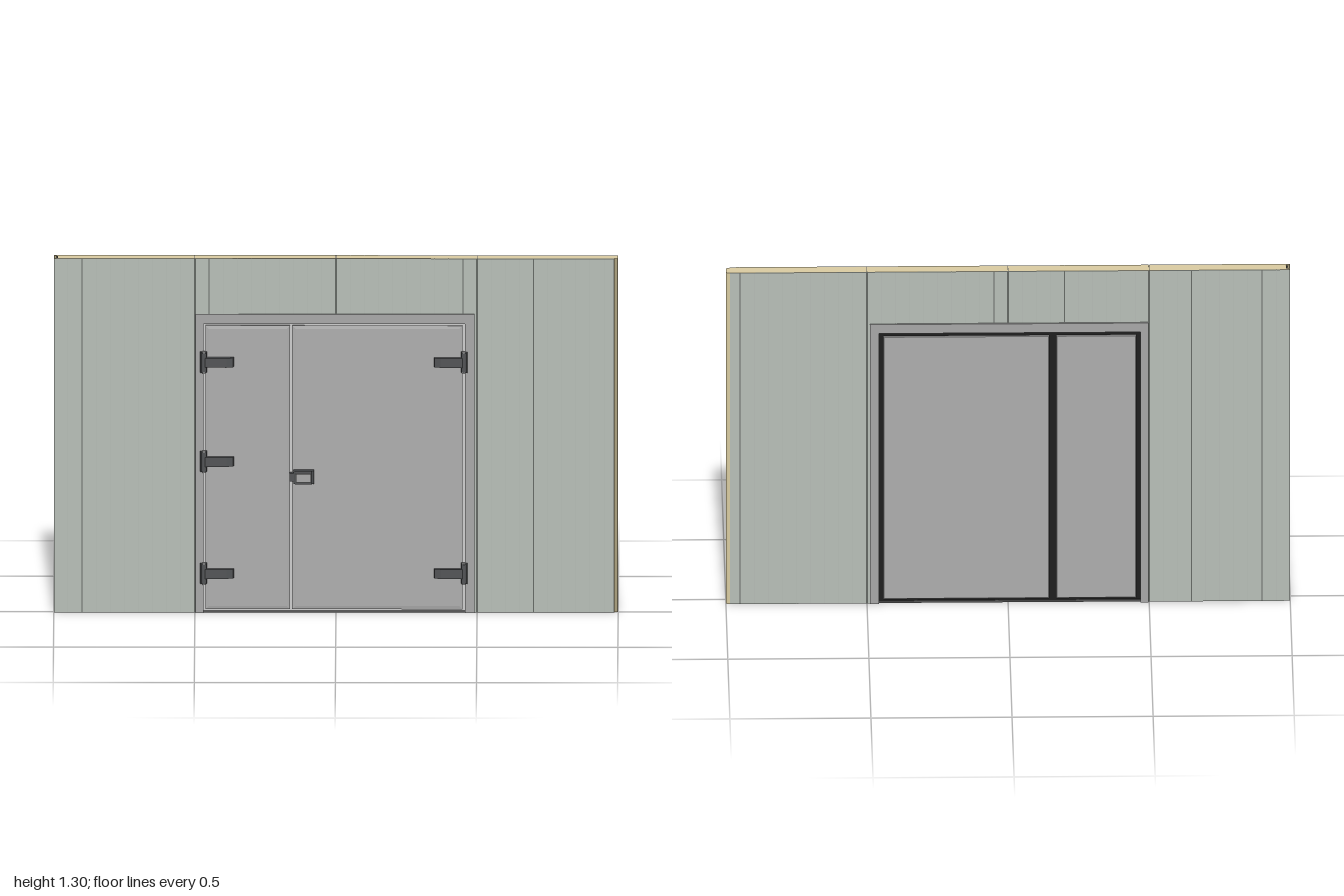
import * as THREE from 'three';

const mat = (color) => new THREE.MeshStandardMaterial({ color });
const STEEL = mat(0xb6bdb6), FOAM = mat(0xd8caa0), FRAME = mat(0xa6a6a6), LEAF = mat(0xacacac);
const DARK = mat(0x1c1c1c), HINGE = mat(0x505254), TRIM = mat(0xcccccc), SILL = mat(0x555555);

const ZF = 0.009, ZB = -0.04, SKIN = 0.002, HEIGHT = 1.295;

function add(parent, name, geometry, material, x = 0, y = 0, z = 0) {
  const mesh = new THREE.Mesh(geometry, material);
  mesh.name = name;
  mesh.position.set(x, y, z);
  parent.add(mesh);
  return mesh;
}

// Box given by its limits on each axis
function block(parent, name, material, [x0, x1], [y0, y1], [z0, z1]) {
  return add(parent, name, new THREE.BoxGeometry(x1 - x0, y1 - y0, z1 - z0), material,
    (x0 + x1) / 2, (y0 + y1) / 2, (z0 + z1) / 2);
}

// Plan outline of [x, z] points raised from y0 to y1
function raise(points, y0, y1) {
  const shape = new THREE.Shape(points.map(([x, z]) => new THREE.Vector2(x, -z)));
  const geometry = new THREE.ExtrudeGeometry(shape, { depth: y1 - y0, bevelEnabled: false });
  return geometry.rotateX(-Math.PI / 2).translate(0, y0, 0);
}

// Steel skin with fine vertical grooves and deeper panel joints
function skin(x0, x1, y0, y1, face, inward) {
  const points = [[x0, face + inward * SKIN], [x0, face]];
  for (let i = -19; i < 20; i++) {
    const x = i * 0.05;
    if (x < x0 + 0.005 || x > x1 - 0.005) continue;
    const joint = i % 10 === 0;
    const w = joint ? 0.0015 : 0.001, d = face + inward * (joint ? 0.0015 : 0.0005);
    points.push([x - w, face], [x, d], [x + w, face]);
  }
  points.push([x1, face], [x1, face + inward * SKIN]);
  return raise(points, y0, y1);
}

// Insulated wall around the doorway
function makeWall() {
  const wall = new THREE.Group();
  wall.name = 'wall';
  const f = ZF - SKIN, b = ZB + SKIN;
  const sections = [
    // groove along the right end
    ['rightWall', -1, -0.48, 0, [[-0.48, f], [-0.999, f], [-0.996, f - 0.006], [-0.985, f - 0.009],
      [-0.985, b + 0.009], [-0.996, b + 0.006], [-0.999, b], [-0.48, b]]],
    // tongue along the left end
    ['leftWall', 0.47, 0.985, 0, [[0.47, f], [0.985, f], [0.988, 0.002], [0.995, 0.002], [1, -0.002],
      [1, -0.034], [0.995, -0.037], [0.985, b], [0.47, b]]],
    ['header', -0.48, 0.47, 1.065, [[-0.48, f], [0.47, f], [0.47, b], [-0.48, b]]],
  ];
  for (const [name, x0, x1, y0, core] of sections) {
    add(wall, name + 'Core', raise(core, y0, HEIGHT), FOAM);
    add(wall, name + 'FrontSkin', skin(x0, x1, y0, HEIGHT, ZF, -1), STEEL);
    add(wall, name + 'BackSkin', skin(x0, x1, y0, HEIGHT, ZB, 1), STEEL);
  }
  block(wall, 'grooveSeal', DARK, [-0.99, -0.984], [0, HEIGHT - 0.001], [-0.029, -0.002]);
  // Joint lines across the top of the panels
  for (const x of [-0.5, 0, 0.5])
    block(wall, 'panelJoint', SILL, [x - 0.001, x + 0.001], [HEIGHT - 0.01, HEIGHT + 0.0005], [b, f]);
  return wall;
}

// Door surround, standing proud of the wall on both sides
function makeFrame() {
  const frame = new THREE.Group();
  frame.name = 'doorFrame';
  const outline = [[-0.497, 0], [-0.497, 1.093], [0.49, 1.093], [0.49, 0], [0.458, 0],
    [0.458, 1.058], [-0.47, 1.058], [-0.47, 0]].map(([x, y]) => new THREE.Vector2(x, y));
  const geometry = new THREE.ExtrudeGeometry(new THREE.Shape(outline), { depth: 0.062, bevelEnabled: false });
  add(frame, 'surround', geometry, FRAME, 0, 0, -0.047);
  block(frame, 'threshold', SILL, [-0.47, 0.458], [0, 0.008], [-0.038, 0.008]);
  // Seal filling the gaps behind the leaves
  block(frame, 'seal', DARK, [-0.47, 0.458], [0.008, 1.058], [-0.034, -0.012]);
  // Pale rebate seen through the front gaps
  block(frame, 'rebate', TRIM, [-0.47, 0.458], [0.008, 1.058], [-0.012, 0.004]);
  return frame;
}

// Door leaf: bevelled front and back plates
function makeLeaf(name, x0, x1) {
  const leaf = new THREE.Group();
  leaf.name = name;
  const plate = (a, b, y0, y1, depth, bevel) => {
    const shape = new THREE.Shape([[a, y0], [b, y0], [b, y1], [a, y1]].map(([x, y]) => new THREE.Vector2(x, y)));
    return new THREE.ExtrudeGeometry(shape, {
      depth, bevelThickness: 0.002, bevelSize: bevel, bevelOffset: -bevel, bevelSegments: 1,
    });
  };
  add(leaf, 'frontPlate', plate(x0, x1, 0.012, 1.05, 0.01, 0.012), LEAF, 0, 0, 0);
  add(leaf, 'backPlate', plate(x0 + 0.01, x1 - 0.008, 0.016, 1.042, 0.008, 0.002), LEAF, 0, 0, -0.038);
  return leaf;
}

// Hinge with upright knuckle and a tapered arm pointing to +x
function makeHinge() {
  const hinge = new THREE.Group();
  hinge.name = 'hinge';
  add(hinge, 'arm', raise([[0, 0.01], [0, 0.026], [0.012, 0.03], [0.085, 0.03], [0.108, 0.024], [0.112, 0.01]],
    -0.017, 0.017), HINGE);
  add(hinge, 'mountingPlate', raise([[-0.01, 0.01], [-0.006, 0.022], [0.012, 0.022], [0.016, 0.01]],
    -0.038, 0.038), HINGE);
  add(hinge, 'knuckle', new THREE.CylinderGeometry(0.009, 0.009, 0.07, 16), HINGE, 0.005, 0, 0.021);
  for (const s of [-1, 1])
    add(hinge, 'knuckleCap', new THREE.CylinderGeometry(0.006, 0.006, 0.006, 16), FRAME, 0.005, s * 0.037, 0.021);
  return hinge;
}

// Latch: tapered case, pale cover and keeper
function makeLatch() {
  const latch = new THREE.Group();
  latch.name = 'latch';
  add(latch, 'case', raise([[-0.15, 0.01], [-0.15, 0.032], [-0.144, 0.036], [-0.086, 0.036], [-0.078, 0.03],
    [-0.078, 0.01]], 0.476, 0.524), HINGE);
  block(latch, 'cover', FRAME, [-0.142, -0.088], [0.485, 0.515], [0.034, 0.047]);
  block(latch, 'keeper', HINGE, [-0.164, -0.148], [0.485, 0.515], [0.01, 0.034]);
  return latch;
}

export function createModel() {
  const model = new THREE.Group();
  model.name = 'insulatedWallWithDoubleDoor';
  model.add(makeWall(), makeFrame());
  model.add(makeLeaf('narrowLeaf', -0.463, -0.163), makeLeaf('wideLeaf', -0.155, 0.449));
  model.add(makeLatch());

  // Three hinges on the narrow leaf, two mirrored on the wide one
  for (const [x, heights] of [[-0.473, [0.145, 0.555, 0.918]], [0.458, [0.145, 0.918]]]) {
    for (const y of heights) {
      const hinge = makeHinge();
      hinge.position.set(x, y, 0);
      if (x > 0) hinge.scale.x = -1;
      model.add(hinge);
    }
  }
  return model;
}
